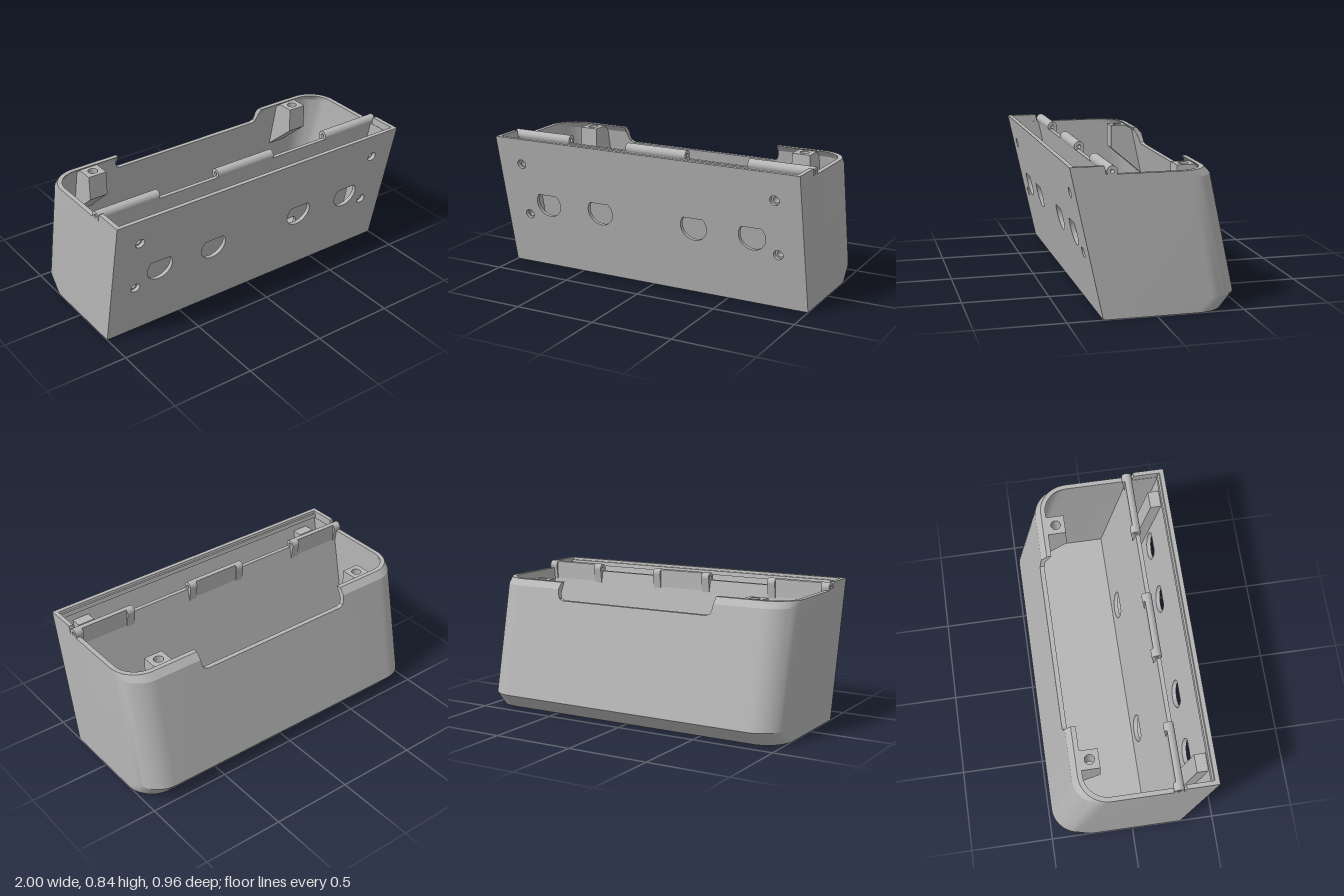
import * as THREE from 'three';
import { toCreasedNormals } from 'three/addons/utils/BufferGeometryUtils.js';

const LEAN = 0.214;          // forward lean of the front panel and divider
const WALL = 0.026;
const RADIUS = 0.17;         // rounded back corners
const frontZ = y => 0.3 + LEAN * y;

// Back wall profile: bottom bevel, leaning wall, top bevel
const PROFILE = [[0, -0.41], [0.085, -0.48], [0.757, -0.335], [0.795, -0.3]];
function backZ(y) {
  for (let i = 1; i < PROFILE.length; i++) {
    const [y0, z0] = PROFILE[i - 1], [y1, z1] = PROFILE[i];
    if (y <= y1) return z0 + (z1 - z0) * (y - y0) / (y1 - y0);
  }
  return -0.3;
}

// Columns around the sides and back; each gives z by height and its own rim height
function wallColumns() {
  const half = [{ at: (y, t) => [1 - t, frontZ(y) - WALL], top: 0.795 }];
  for (let i = 0; i <= 12; i++) {
    const a = i / 12 * Math.PI / 2;
    half.push({
      at: (y, t) => [1 - RADIUS + (RADIUS - t) * Math.cos(a), backZ(y) + RADIUS - (RADIUS - t) * Math.sin(a)],
      top: 0.795,
    });
  }
  // Dropped rim in the middle of the back wall
  for (const [x, top] of [[0.535, 0.795], [0.53, 0.725], [0.52, 0.7], [0.495, 0.69]])
    half.push({ at: (y, t) => [x, backZ(y) + t], top });
  const mirrored = half.slice().reverse().map(c => ({
    at: (y, t) => { const [x, z] = c.at(y, t); return [-x, z]; }, top: c.top,
  }));
  return [...half, ...mirrored];
}

function wallGeometry() {
  const cols = wallColumns(), pos = [], idx = [];
  for (const c of cols) {
    const ys = [0, 0.085, Math.min(0.757, c.top), c.top];
    const ring = [...ys.map(y => [y, 0]), ...ys.slice().reverse().map(y => [y, WALL + 0.002])];
    for (const [y, t] of ring) {
      const [x, z] = c.at(y, t);
      pos.push(x, y, z);
    }
  }
  for (let i = 0; i < cols.length - 1; i++)
    for (let j = 0; j < 8; j++) {
      const k = (j + 1) % 8, a = i * 8 + j, b = a + 8, c = i * 8 + 8 + k, d = i * 8 + k;
      idx.push(a, b, c, a, c, d);
    }
  const g = new THREE.BufferGeometry();
  g.setAttribute('position', new THREE.Float32BufferAttribute(pos, 3));
  g.setIndex(idx);
  return g;
}

const polygon = pts => new THREE.Shape(pts.map(([x, y]) => new THREE.Vector2(x, y)));
const rect = (x0, y0, x1, y1) => polygon([[x0, y0], [x1, y0], [x1, y1], [x0, y1]]);
const circle = (x, y, r) => new THREE.Path().absarc(x, y, r, 0, Math.PI * 2);
function teardrop(x, y, r) {
  const p = new THREE.Path();
  p.moveTo(x, y + r * 1.35);
  p.absarc(x, y, r, Math.PI * 0.77, Math.PI * 2.23, false);
  p.closePath();
  return p;
}

function extrude(shape, depth, holes = []) {
  shape.holes.push(...holes);
  return new THREE.ExtrudeGeometry(shape, { depth, bevelEnabled: false, curveSegments: 24 });
}
// Upright (x, y) plate leaning forward, back face at z when y = 0
function leaning(shape, depth, z, holes) {
  const shear = new THREE.Matrix4().set(1, 0, 0, 0, 0, 1, 0, 0, 0, LEAN, 1, z, 0, 0, 0, 1);
  return extrude(shape, depth, holes).applyMatrix4(shear);
}
// (z, y) profile running along x from x0 to x1
const alongX = (shape, x0, x1, holes) =>
  extrude(shape, x1 - x0, holes).rotateY(-Math.PI / 2).translate(x1, 0, 0);
// (x, -z) outline raised from y0 by h
const upward = (shape, y0, h, holes) =>
  extrude(shape, h, holes).rotateX(-Math.PI / 2).translate(0, y0, 0);

export function createModel() {
  const group = new THREE.Group();
  const grey = new THREE.MeshStandardMaterial({ color: 0xb6b6b6 });
  grey.name = 'grey plastic';
  const add = (name, geometry) => {
    const mesh = new THREE.Mesh(toCreasedNormals(geometry, 0.35), grey);
    mesh.name = name;
    group.add(mesh);
  };

  add('sideAndBackWalls', wallGeometry());

  // Floor with four narrow slots
  const outline = wallColumns().map(c => { const [x, z] = c.at(0, 0.01); return [x, -z]; });
  add('floor', upward(polygon(outline), 0, 0.028,
    [-0.68, -0.32, 0.32, 0.68].map(x => rect(x - 0.06, -0.24, x + 0.06, -0.215))));

  // Front panel with cable openings and screw holes
  const screws = [0.34, 0.675];
  const frontHoles = [-0.685, -0.315, 0.315, 0.685].map(x => teardrop(x, 0.43, 0.084));
  for (const x of [-0.84, 0.84]) for (const y of screws) frontHoles.push(circle(x, y, 0.029));
  add('frontPanel', leaning(rect(-1, 0, 1, 0.84), WALL, 0.3 - WALL, frontHoles));
  add('frontLedge', leaning(rect(-0.98, 0.8, 0.98, 0.825), 0.012, 0.3 - WALL - 0.011));

  // Inner divider below the hinge
  add('divider', leaning(rect(-0.98, 0.02, 0.98, 0.795), 0.025, 0.08,
    [-0.42, 0.42].map(x => teardrop(x, 0.17, 0.084))));

  for (const s of [-1, 1]) {
    // Raised cheek beside the front panel
    const cheek = polygon([[0.283, 0.795], [frontZ(0.795) - WALL, 0.795], [frontZ(0.84) - WALL, 0.84], [0.293, 0.84]]);
    add('frontCheek', alongX(cheek, s > 0 ? 1 - WALL : -1, s > 0 ? 1 : -1 + WALL));

    // Screw block behind the front panel
    const cx = s * 0.842;
    const block = () => rect(cx - 0.053, 0.26, cx + 0.053, 0.76);
    add('frontScrewBlock', leaning(block(), 0.055, 0.3 - WALL - 0.055, screws.map(y => circle(cx, y, 0.019))));
    add('frontScrewBlockBack', leaning(block(), 0.01, 0.3 - WALL - 0.065));

    // Lid screw post with tapered support on the back wall
    const px = s * 0.74;
    add('lidPost', upward(rect(px - 0.058, 0.165, px + 0.058, 0.272), 0.64, 0.15, [circle(px, 0.22, 0.029)]));
    const support = polygon([[-0.165, 0.64], [-0.27, 0.64], [-0.27, 0.785],
      [backZ(0.757) + 0.015, 0.757], [backZ(0.45) + 0.015, 0.45]]);
    add('lidPostSupport', alongX(support, px - 0.058, px + 0.058));
  }

  // Hinge knuckles: full barrels at the ends, cut back in the middle
  const barrel = () => {
    const p = new THREE.Shape();
    p.moveTo(0.259, 0.72);
    p.absarc(0.251, 0.811, 0.03, -0.45, Math.PI + 0.3, false);
    p.lineTo(0.234, 0.72);
    return p;
  };
  const cutBarrel = () => {
    const p = new THREE.Shape();
    p.moveTo(0.259, 0.72);
    p.absarc(0.251, 0.811, 0.03, -0.45, Math.PI * 0.67, false);
    p.lineTo(0.236, 0.72);
    return p;
  };
  const pin = () => [circle(0.251, 0.811, 0.011)];
  for (const [x0, x1] of [[-1, -0.6], [-0.2, 0.2], [0.6, 1]]) {
    add('hingeKnuckle', alongX(barrel(), x0, x0 + 0.05, pin()));
    add('hingeKnuckle', alongX(cutBarrel(), x0 + 0.05, x1 - 0.05));
    add('hingeKnuckle', alongX(barrel(), x1 - 0.05, x1, pin()));
  }
  return group;
}
